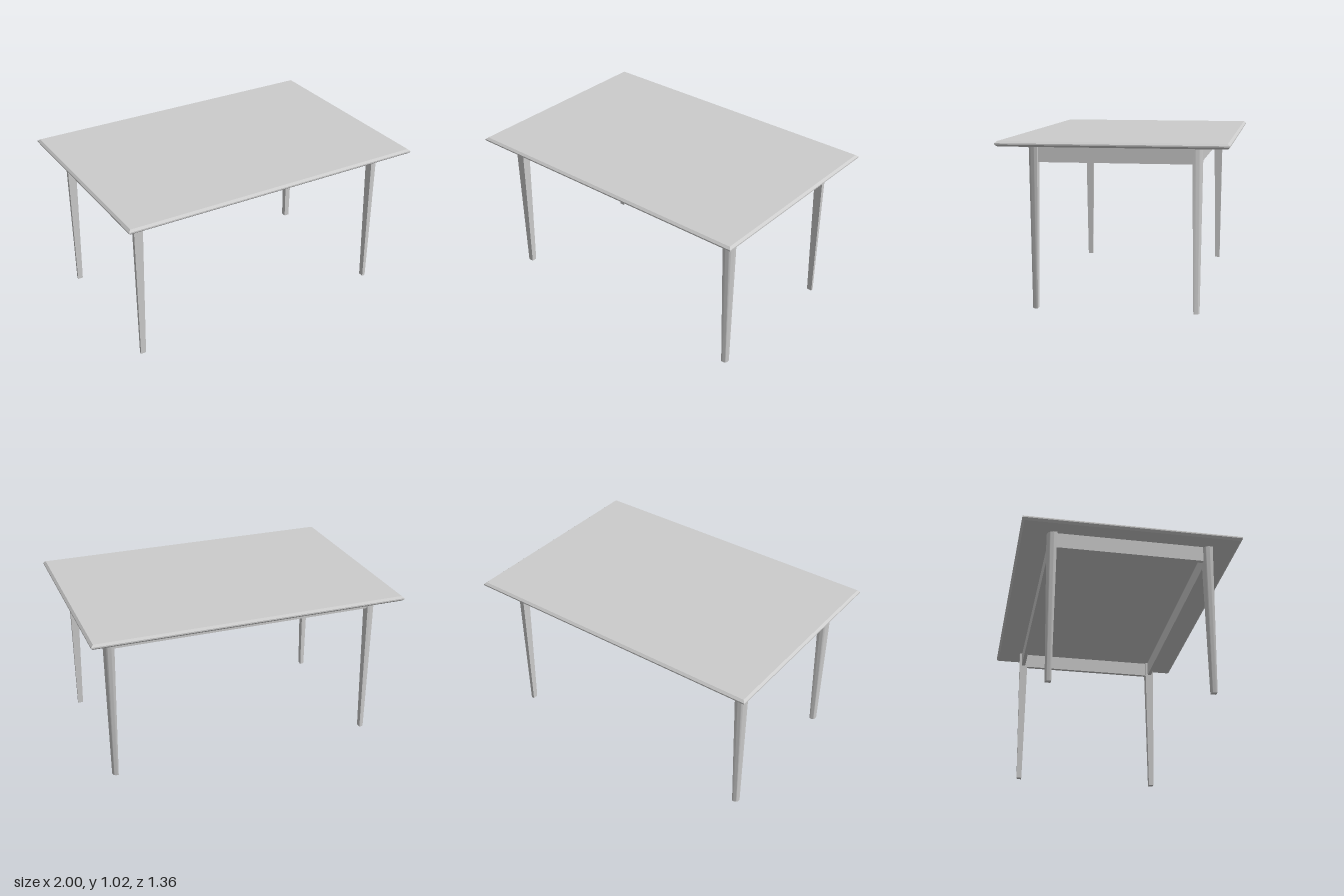
import * as THREE from 'three';
import { toCreasedNormals } from 'three/addons/utils/BufferGeometryUtils.js';

const LEG_H = 0.985;
const material = new THREE.MeshStandardMaterial({ color: 0xcccccc });

function addMesh(group, name, geometry, x, y, z) {
  const mesh = new THREE.Mesh(geometry, material);
  mesh.name = name;
  mesh.position.set(x, y, z);
  group.add(mesh);
  return mesh;
}

// Square tapering leg with one rounded corner, at local +x -z
function legGeometry() {
  const h = 0.03, r = 0.042;
  const shape = new THREE.Shape();
  shape.moveTo(-h, -h);
  shape.lineTo(h, -h);
  shape.lineTo(h, h - r);
  shape.absarc(h - r, h - r, r, 0, Math.PI / 2, false);
  shape.lineTo(-h, h);
  shape.closePath();
  const geo = new THREE.ExtrudeGeometry(shape, { depth: LEG_H, bevelEnabled: false, curveSegments: 10 });
  geo.rotateX(-Math.PI / 2);
  // narrow towards the foot
  const p = geo.attributes.position;
  for (let i = 0; i < p.count; i++) {
    const s = 0.57 + 0.43 * (p.getY(i) / LEG_H);
    p.setX(i, p.getX(i) * s);
    p.setZ(i, p.getZ(i) * s);
  }
  return toCreasedNormals(geo, 0.6);
}

// Tabletop slab with chamfers above and below its edge
function topGeometry() {
  const w = 0.986, d = 0.666;
  const shape = new THREE.Shape();
  shape.moveTo(-w, -d);
  shape.lineTo(w, -d);
  shape.lineTo(w, d);
  shape.lineTo(-w, d);
  shape.closePath();
  const geo = new THREE.ExtrudeGeometry(shape, {
    depth: 0.008, bevelEnabled: true, bevelSegments: 1, bevelSize: 0.014, bevelThickness: 0.012,
  });
  geo.rotateX(-Math.PI / 2);
  return geo;
}

export function createModel() {
  const group = new THREE.Group();
  group.name = 'table';

  addMesh(group, 'tabletop', topGeometry(), 0, 0.997, 0);

  // Legs: [name, x, z, turn of the rounded corner]
  const leg = legGeometry();
  const legs = [
    ['frontLeftLeg', 0.855, 0.485, -Math.PI / 2],
    ['frontRightLeg', -0.865, 0.485, Math.PI / 2],
    ['backLeftLeg', 0.855, -0.487, 0],
    ['backRightLeg', -0.865, -0.487, Math.PI / 2],
  ];
  for (const [name, x, z, turn] of legs) addMesh(group, name, leg, x, 0, z).rotation.y = turn;

  // Apron rails between the legs
  const railY = 0.935, railH = 0.1, thick = 0.025;
  const longRail = new THREE.BoxGeometry(1.664, railH, thick);
  const shortRail = new THREE.BoxGeometry(thick, railH, 0.916);
  addMesh(group, 'frontApron', longRail, -0.005, railY, 0.485);
  addMesh(group, 'backApron', longRail, -0.005, railY, -0.487);
  addMesh(group, 'leftApron', shortRail, 0.855, railY, -0.001);
  addMesh(group, 'rightApron', shortRail, -0.865, railY, -0.001);

  return group;
}
